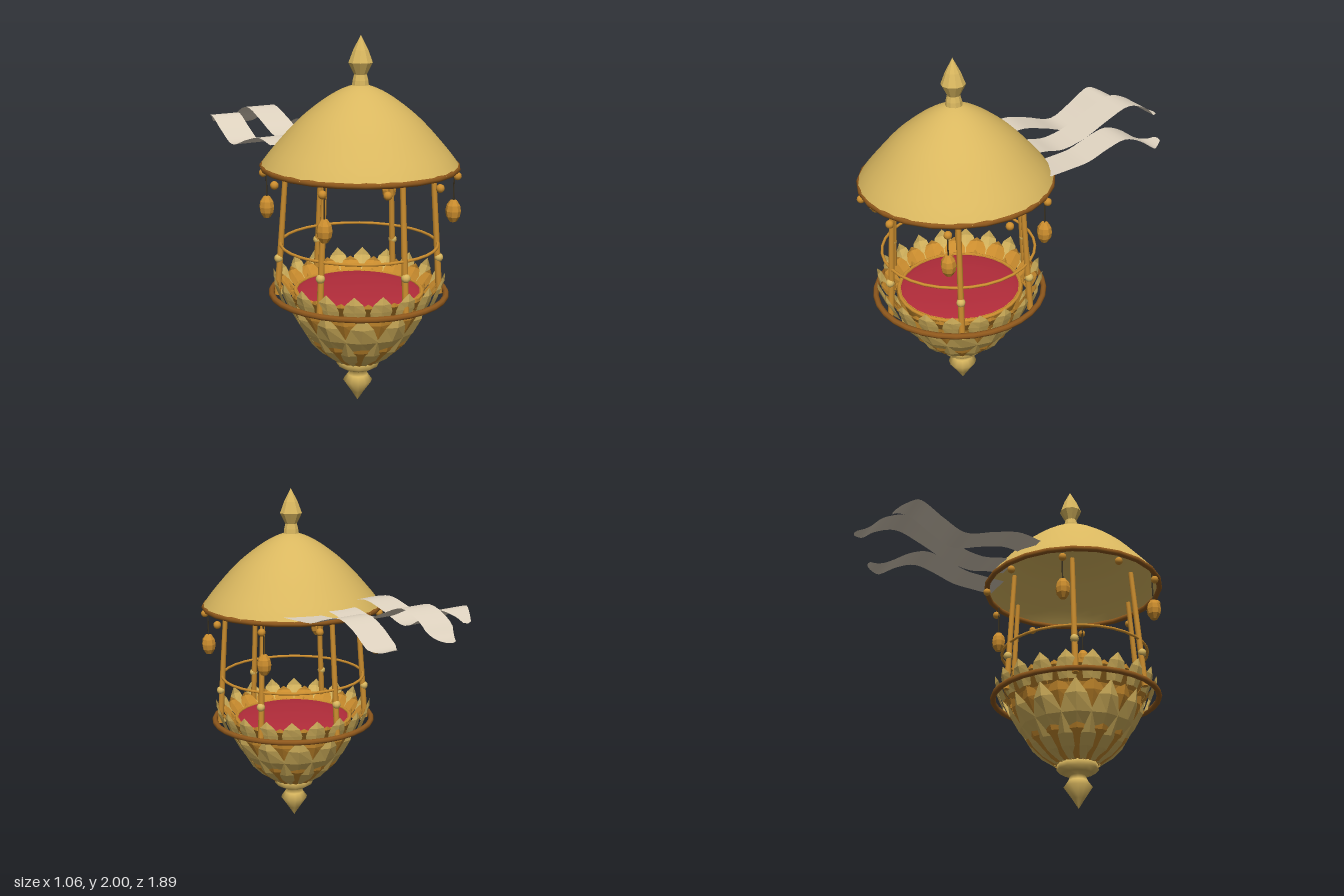
import * as THREE from 'three';

const mat = (name, color, double = true) => {
  const m = new THREE.MeshStandardMaterial({ color, side: double ? THREE.DoubleSide : THREE.FrontSide });
  m.name = name;
  return m;
};

export function createModel() {
  const gold = mat('pale gold', 0xd9b75f);
  const amber = mat('amber gold', 0xcb8d2e);
  const wood = mat('brown wood', 0x8f581c, false);
  const red = mat('red cushion', 0xb22c3a);
  const silk = mat('cream silk', 0xded2bf);
  const iron = mat('dark iron', 0x3a3222, false);

  const model = new THREE.Group();
  model.name = 'hangingPavilion';
  // Everything round shares this axis; the ribbons trail behind it.
  const body = new THREE.Group();
  body.name = 'pavilion';
  body.position.z = 0.415;
  model.add(body);

  const add = (name, geometry, material, parent = body) => {
    const mesh = new THREE.Mesh(geometry, material);
    mesh.name = name;
    parent.add(mesh);
    return mesh;
  };
  const flat = (g) => {
    const f = g.index ? g.toNonIndexed() : g;
    f.computeVertexNormals();
    return f;
  };
  const polar = (r, a, y) => new THREE.Vector3(r * Math.sin(a), y, r * Math.cos(a));
  const lathe = (pts, sides) => new THREE.LatheGeometry(pts.map(([r, y]) => new THREE.Vector2(r, y)), sides);
  const ring = (name, R, tube, y, material, sides = 32) => {
    const m = add(name, new THREE.TorusGeometry(R, tube, 8, sides), material);
    m.rotation.x = Math.PI / 2;
    m.position.y = y;
  };
  const rod = (name, a, b, r0, r1, material) => {
    const d = b.clone().sub(a);
    const m = add(name, new THREE.CylinderGeometry(r1, r0, d.length(), 8), material);
    m.position.copy(a).addScaledVector(d, 0.5);
    m.quaternion.setFromUnitVectors(new THREE.Vector3(0, 1, 0), d.normalize());
  };

  // Surface through rows of points, each row running across
  const sheet = (rows) => {
    const n = rows[0].length;
    const index = [];
    for (let i = 0; i < rows.length - 1; i++)
      for (let j = 0; j < n - 1; j++) {
        const a = i * n + j;
        index.push(a, a + 1, a + n, a + 1, a + n + 1, a + n);
      }
    const g = new THREE.BufferGeometry().setFromPoints(rows.flat());
    g.setIndex(index);
    g.computeVertexNormals();
    return g;
  };

  // Ridged petals around the axis; steps are [radius, height, half width]
  const petals = (name, count, offset, ridge, steps, material) => {
    const group = new THREE.Group();
    group.name = name + 's';
    body.add(group);
    const rows = steps.map(([r, y, w]) => [
      new THREE.Vector3(-w, y, r),
      new THREE.Vector3(0, y, r + (w > 0 ? ridge : 0)),
      new THREE.Vector3(w, y, r),
    ]);
    const g = flat(sheet(rows));
    for (let i = 0; i < count; i++)
      add(name, g, material, group).rotation.y = ((i + offset) * 2 * Math.PI) / count;
  };

  // Roof
  const roof = new THREE.SplineCurve([[0.52, 1.33], [0.46, 1.41], [0.33, 1.555], [0.2, 1.662],
    [0.095, 1.725], [0, 1.757]].map(([r, y]) => new THREE.Vector2(r, y)));
  const roofPts = roof.getPoints(20);
  roofPts[20].x = 0;
  add('roofDome', new THREE.LatheGeometry(roofPts, 32), gold);
  ring('roofRim', 0.51, 0.016, 1.325, wood, 24);
  add('roofFinial', flat(lathe([[0.045, 1.745], [0.042, 1.77], [0.034, 1.80], [0.065, 1.86], [0.04, 1.925], [0, 2]], 10)), gold);

  // Beads and lanterns hanging from the roof rim
  for (let i = 0; i < 10; i++) {
    const a = Math.PI / 2 + (i * Math.PI) / 5;
    add('rimBead', new THREE.SphereGeometry(0.022, 10, 8), amber).position.copy(polar(0.51, a, 1.275));
  }
  for (const sx of [-1, 1])
    for (const sz of [-1, 1]) {
      const p = new THREE.Vector3(sx * 0.396, 1.09, sz * 0.293);
      rod('lanternRod', p.clone().setY(1.14), p.clone().setY(1.32), 0.004, 0.004, iron);
      const g = lathe([[0, 1.03], [0.018, 1.032], [0.036, 1.06], [0.041, 1.09], [0.036, 1.12], [0.018, 1.147], [0, 1.15]], 8);
      add('lantern', flat(g), amber).position.set(p.x, 0, p.z);
    }

  // Six leaning posts with beads and a handrail
  for (let i = 0; i < 6; i++) {
    const a = (i * Math.PI) / 3;
    rod('post', polar(0.435, a, 0.62), polar(0.385, a, 1.33), 0.018, 0.014, amber);
    add('postBead', new THREE.SphereGeometry(0.024, 10, 8), gold).position.copy(polar(0.428, a, 0.82));
  }
  ring('handrail', 0.418, 0.008, 0.905, amber);

  // Basket: core, seat and rim
  add('basketCore', lathe([[0.09, 0.25], [0.19, 0.34], [0.28, 0.47], [0.335, 0.62], [0.345, 0.645], [0.33, 0.65]], 24), amber);
  add('cushion', lathe([[0.335, 0.64], [0.3, 0.655], [0.17, 0.667], [0, 0.67]], 32), red);
  ring('cushionEdge', 0.34, 0.01, 0.642, amber);
  ring('basketRim', 0.468, 0.016, 0.635, wood);

  // Overlapping petals of the basket
  petals('innerPetal', 12, 0.5, 0.022,
    [[0.1, 0.25, 0.025], [0.2, 0.34, 0.075], [0.295, 0.47, 0.1], [0.345, 0.56, 0.07], [0.385, 0.65, 0]], amber);
  petals('middlePetal', 12, 0, 0.022,
    [[0.105, 0.25, 0.025], [0.21, 0.34, 0.07], [0.3, 0.45, 0.09], [0.35, 0.54, 0.06], [0.385, 0.62, 0]], gold);
  petals('outerPetal', 12, 0, 0.02,
    [[0.11, 0.25, 0.02], [0.175, 0.3, 0.048], [0.25, 0.375, 0.055], [0.335, 0.51, 0]], amber);
  petals('lowPetal', 12, 0.5, 0.018,
    [[0.11, 0.25, 0.022], [0.185, 0.3, 0.04], [0.24, 0.355, 0.042], [0.32, 0.46, 0]], gold);

  // Crown of petals standing around the rim
  petals('crownPetal', 20, 0, 0.012,
    [[0.405, 0.6, 0.045], [0.43, 0.66, 0.058], [0.447, 0.705, 0.045], [0.46, 0.75, 0]], gold);
  petals('liningPetal', 20, 0.5, 0.01,
    [[0.36, 0.6, 0.055], [0.4, 0.65, 0.06], [0.425, 0.68, 0.04], [0.435, 0.705, 0]], amber);

  // Lower finial
  add('lowerFinial', lathe([[0, 0.005], [0.035, 0.06], [0.08, 0.125], [0.055, 0.16], [0.042, 0.19],
    [0.085, 0.2], [0.116, 0.22], [0.112, 0.255], [0, 0.26]], 12), gold);

  // Silk ribbons; points are [z, y], the tip is pointed
  const ribbon = (name, x, pts) => {
    const curve = new THREE.SplineCurve(pts.map(([z, y]) => new THREE.Vector2(z, y)));
    const end = pts[pts.length - 1][0];
    const rows = curve.getPoints(32).map(({ x: z, y }) => {
      const w = 0.092 * Math.min(1, 0.55 * Math.max(0, (z - end) / 0.075) + (z - end > 0.001 ? 0.25 : 0));
      return [-1, 0, 1].map((s) => new THREE.Vector3(x + s * w, y, z));
    });
    add(name, sheet(rows), silk, model);
  };
  ribbon('rightRibbon', -0.23, [[0.03, 1.4], [-0.1, 1.42], [-0.25, 1.385], [-0.42, 1.335], [-0.55, 1.39],
    [-0.68, 1.465], [-0.76, 1.445], [-0.81, 1.405]]);
  ribbon('middleRibbon', 0, [[0, 1.385], [-0.1, 1.375], [-0.22, 1.355], [-0.37, 1.385], [-0.52, 1.45],
    [-0.67, 1.5], [-0.8, 1.455], [-0.88, 1.385], [-0.945, 1.365]]);
  ribbon('leftRibbon', 0.23, [[0.03, 1.36], [-0.1, 1.365], [-0.22, 1.375], [-0.34, 1.415], [-0.46, 1.44],
    [-0.57, 1.4], [-0.68, 1.325], [-0.74, 1.315], [-0.78, 1.33]]);

  return model;
}
